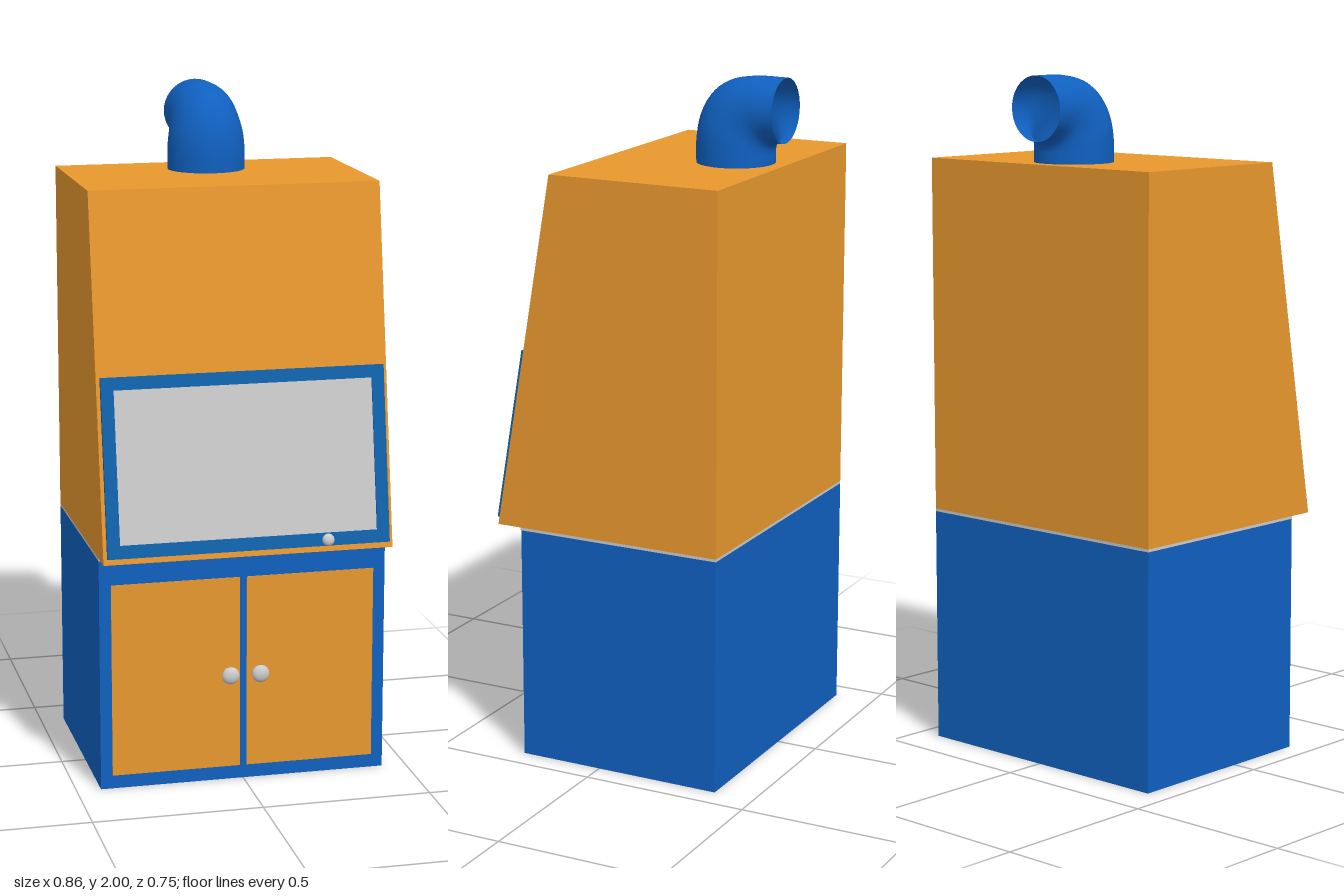
import * as THREE from 'three';

const mat = (color, opts = {}) => new THREE.MeshStandardMaterial({ color, ...opts });
const ORANGE = mat(0xe8982e);
const BLUE = mat(0x1060c0);
const PIPE = mat(0x1060c0, { side: THREE.DoubleSide });
const TRIM = mat(0x1063ac);
const GREY = mat(0xcccccc);

const W = 0.428, BACK = -0.378;
const TILT = Math.atan(0.182 / 1.05);

function add(parent, name, geometry, material, x = 0, y = 0, z = 0) {
  const mesh = new THREE.Mesh(geometry, material);
  mesh.name = name;
  mesh.position.set(x, y, z);
  parent.add(mesh);
  return mesh;
}

// Box given by its lower and upper corners
function block(parent, name, material, [x0, y0, z0], [x1, y1, z1]) {
  return add(parent, name, new THREE.BoxGeometry(x1 - x0, y1 - y0, z1 - z0), material,
    (x0 + x1) / 2, (y0 + y1) / 2, (z0 + z1) / 2);
}

// Mushroom knob pointing along +z: neck, then a rounded head
function knob(parent, name, r, length, x, y, z) {
  const pts = [new THREE.Vector2(r * 0.6, 0), new THREE.Vector2(r * 0.5, length * 0.3)];
  const mid = length * 0.66, half = length * 0.34;
  for (let i = 0; i <= 12; i++) {
    const a = -1.05 + (i / 12) * (1.05 + Math.PI / 2);
    pts.push(new THREE.Vector2(Math.max(0, r * Math.cos(a)), mid + half * Math.sin(a)));
  }
  const geo = new THREE.LatheGeometry(pts, 24);
  geo.rotateX(Math.PI / 2);
  return add(parent, name, geo, GREY, x, y, z);
}

// Tapered open elbow: elliptical rings between outer and inner bend edges
function elbowGeometry() {
  // each ring: outer z, outer y, inner z, inner y, half width
  const rings = [
    [-0.11, 1.75, -0.338, 1.75, 0.115],
    [-0.11, 1.82, -0.338, 1.772, 0.115],
    [-0.122, 1.885, -0.338, 1.787, 0.113],
    [-0.152, 1.943, -0.342, 1.8, 0.106],
    [-0.202, 1.982, -0.35, 1.809, 0.1],
    [-0.275, 1.999, -0.361, 1.813, 0.097],
    [BACK, 2.0, BACK, 1.813, 0.095],
  ];
  const curveOf = (a, b) => new THREE.CatmullRomCurve3(rings.map(r => new THREE.Vector3(r[4], r[b], r[a])));
  const outer = curveOf(0, 1), inner = curveOf(2, 3);
  const N = 36, M = 24, pos = [], idx = [];
  for (let i = 0; i <= M; i++) {
    const o = outer.getPoint(i / M), n = inner.getPoint(i / M);
    for (let j = 0; j < N; j++) {
      const a = (j / N) * Math.PI * 2, c = (1 + Math.cos(a)) / 2;
      pos.push(o.x * Math.sin(a), n.y + (o.y - n.y) * c, n.z + (o.z - n.z) * c);
      if (i < M) {
        const k = (j + 1) % N, p = i * N, q = p + N;
        idx.push(p + j, p + k, q + j, p + k, q + k, q + j);
      }
    }
  }
  const geo = new THREE.BufferGeometry();
  geo.setAttribute('position', new THREE.Float32BufferAttribute(pos, 3));
  geo.setIndex(idx);
  geo.computeVertexNormals();
  return geo;
}

export function createModel() {
  const model = new THREE.Group();
  model.name = 'fumeHood';

  // Base cabinet with two doors and knobs
  const cabinet = new THREE.Group();
  cabinet.name = 'baseCabinet';
  model.add(cabinet);
  block(cabinet, 'cabinetBody', BLUE, [-W, 0, BACK], [W, 0.695, 0.253]);
  for (const s of [-1, 1]) {
    const side = s > 0 ? 'left' : 'right';
    const xs = [s * 0.01, s * 0.393].sort((a, b) => a - b);
    block(cabinet, side + 'Door', ORANGE, [xs[0], 0.04, 0.24], [xs[1], 0.62, 0.255]);
    knob(cabinet, side + 'DoorKnob', 0.026, 0.045, s * 0.045, 0.33, 0.254);
  }

  // Thin worktop between cabinet and hood
  block(model, 'worktop', GREY, [-W, 0.695, BACK], [W, 0.703, 0.255]);

  // Hood with sloping front, side profile swept across the width
  const profile = new THREE.Shape([
    new THREE.Vector2(BACK, 0.703), new THREE.Vector2(0.33, 0.703),
    new THREE.Vector2(0.148, 1.75), new THREE.Vector2(BACK, 1.75),
  ]);
  const hood = add(model, 'hood',
    new THREE.ExtrudeGeometry(profile, { depth: 2 * W, bevelEnabled: false }), ORANGE, W);
  hood.rotation.y = -Math.PI / 2;

  // Sash window lying on the sloping front
  const sash = new THREE.Group();
  sash.name = 'sash';
  sash.position.set(0, 0.72, 0.327);
  sash.rotation.x = -TILT;
  model.add(sash);
  const rect = (C, x, y0, y1) => new C([
    new THREE.Vector2(-x, y0), new THREE.Vector2(x, y0),
    new THREE.Vector2(x, y1), new THREE.Vector2(-x, y1),
  ]);
  const frame = rect(THREE.Shape, 0.417, 0, 0.517);
  frame.holes.push(rect(THREE.Path, 0.38, 0.038, 0.48));
  add(sash, 'sashFrame', new THREE.ExtrudeGeometry(frame, { depth: 0.012, bevelEnabled: false }), TRIM);
  block(sash, 'sashPane', GREY, [-0.38, 0.038, 0], [0.38, 0.48, 0.008]);
  knob(sash, 'sashKnob', 0.018, 0.038, 0.226, 0.02, 0.011);

  // Exhaust elbow, open at the back
  add(model, 'exhaustElbow', elbowGeometry(), PIPE);

  return model;
}
